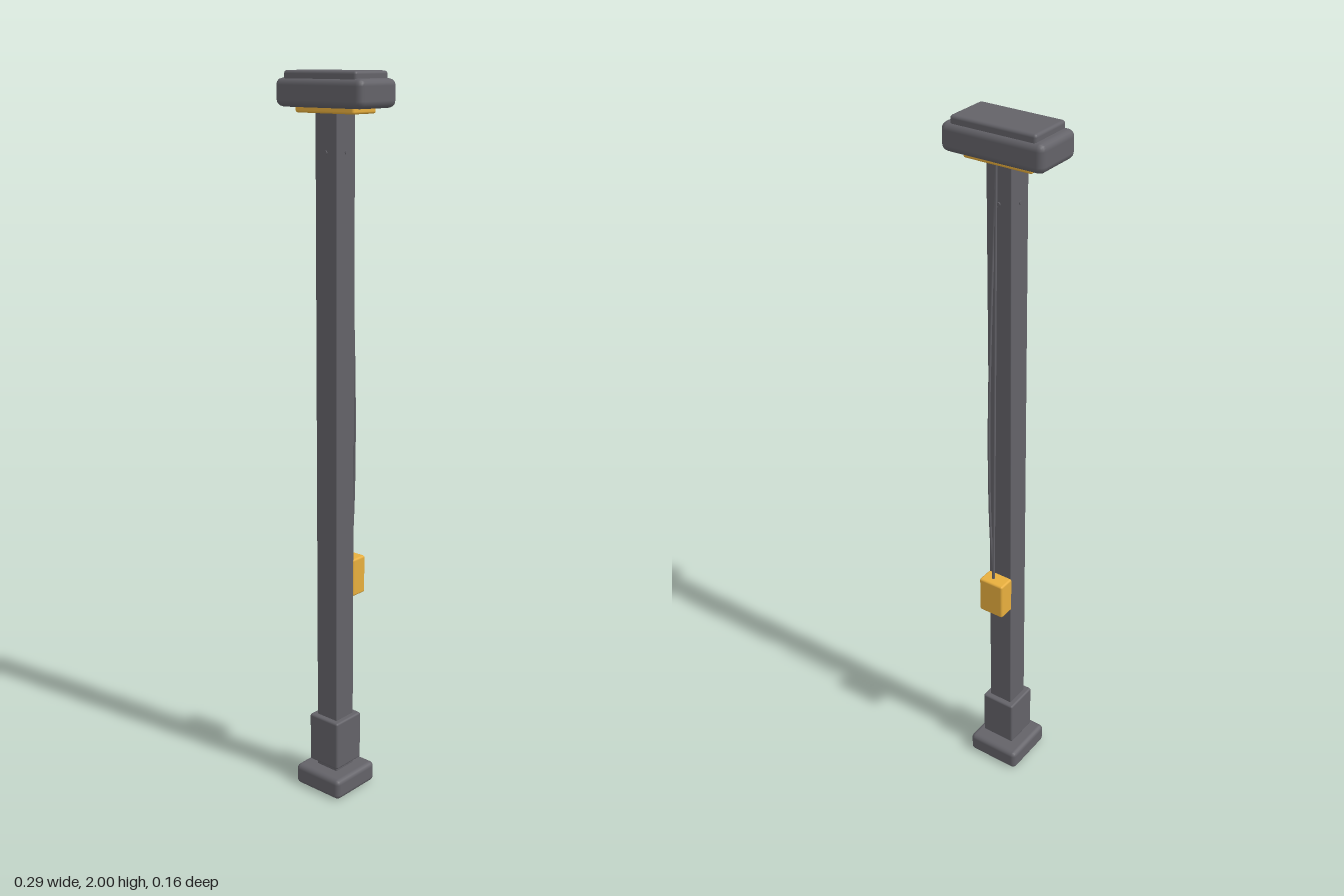
import * as THREE from 'three';
import { RoundedBoxGeometry } from 'three/addons/geometries/RoundedBoxGeometry.js';

const material = (name, color) => {
  const m = new THREE.MeshStandardMaterial({ color });
  m.name = name;
  return m;
};

export function createModel() {
  const group = new THREE.Group();
  const grey = material('greyMetal', 0x636268);
  const amber = material('amber', 0xf0b540);

  const add = (name, geometry, mat) => {
    const mesh = new THREE.Mesh(geometry, mat);
    mesh.name = name;
    group.add(mesh);
    return mesh;
  };
  // Rounded block between two heights
  const block = (name, w, d, y0, y1, radius, mat, z = 0) =>
    add(name, new RoundedBoxGeometry(w, y1 - y0, d, 2, radius), mat)
      .position.set(0, (y0 + y1) / 2, z);

  // Foot, sleeve and post
  block('foot', 0.163, 0.163, 0, 0.06, 0.014, grey);
  block('sleeve', 0.104, 0.104, 0.076, 0.22, 0.006, grey);
  block('post', 0.072, 0.072, 0.05, 1.92, 0.002, grey);

  // Lamp head with top cap and light panel underneath
  block('lampHead', 0.29, 0.145, 1.91, 1.982, 0.018, grey);
  block('lampCap', 0.242, 0.126, 1.965, 2, 0.008, grey);
  block('lightPanel', 0.196, 0.09, 1.896, 1.92, 0.006, amber);

  // Control box on the back
  block('controlBox', 0.077, 0.051, 0.58, 0.69, 0.006, amber, -0.058);

  // Two cables from the head to the control box, one bowed sideways
  for (const bow of [0, 0.018]) {
    const path = new THREE.CatmullRomCurve3([
      new THREE.Vector3(0.006, 1.91, -0.038),
      new THREE.Vector3(0.006 + bow * 0.7, 1.5, -0.045),
      new THREE.Vector3(0.006 + bow, 1.15, -0.051),
      new THREE.Vector3(0.006 + bow * 0.7, 0.88, -0.056),
      new THREE.Vector3(0.006, 0.68, -0.06),
    ]);
    add('cable', new THREE.TubeGeometry(path, 24, 0.0035, 8), grey);
  }

  // Bolts through the post near the top
  const bolt = new THREE.CylinderGeometry(0.005, 0.005, 0.078, 12);
  const across = add('boltAcross', bolt, grey);
  across.position.y = 1.8;
  across.rotation.z = Math.PI / 2;
  const through = add('boltThrough', bolt, grey);
  through.position.y = 1.8;
  through.rotation.x = Math.PI / 2;

  return group;
}
